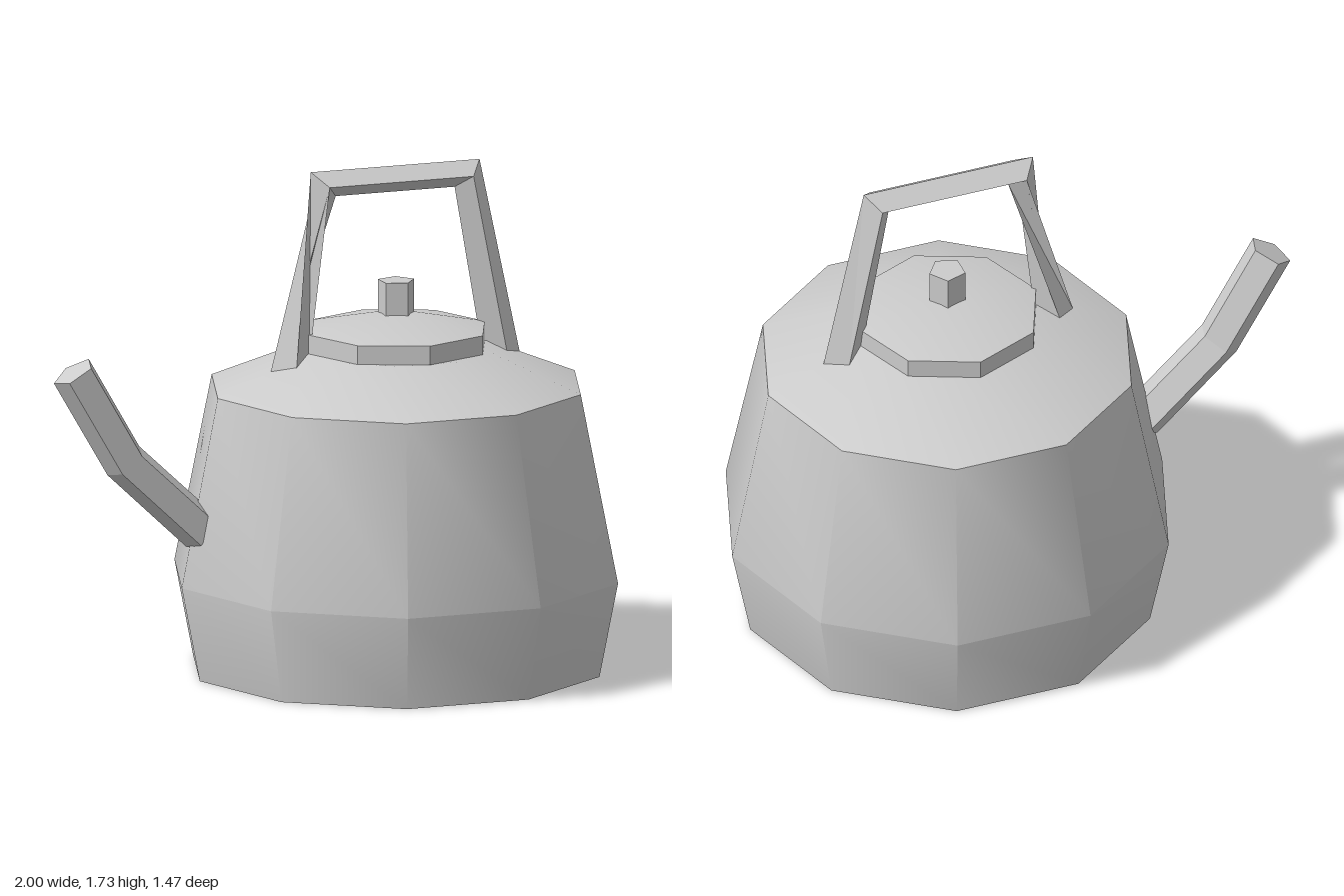
import * as THREE from 'three';
import { toCreasedNormals } from 'three/addons/utils/BufferGeometryUtils.js';

const CX = 0.224; // axis of the pot
const material = new THREE.MeshStandardMaterial({ color: 0xcccccc });
const v = (x, y, z = 0) => new THREE.Vector3(x, y, z);

function part(name, geometry) {
  const mesh = new THREE.Mesh(geometry, material);
  mesh.name = name;
  return mesh;
}

// Faceted turned part; the first corner points to +x
function turned(name, sides, profile, crease = 0.7) {
  const points = profile.map(([r, y]) => new THREE.Vector2(r, y));
  const geometry = new THREE.LatheGeometry(points, sides);
  geometry.rotateY(Math.PI / 2).translate(CX, 0, 0);
  return part(name, toCreasedNormals(geometry, crease));
}

// Flat-sided bar through equal-sized rings of corners, closed at both ends
function bar(name, rings) {
  const n = rings[0].length;
  const corners = [];
  for (let i = 0; i < rings.length - 1; i++) {
    const a = rings[i], b = rings[i + 1];
    for (let j = 0; j < n; j++) {
      const k = (j + 1) % n;
      corners.push(a[j], b[k], a[k], a[j], b[j], b[k]);
    }
  }
  const first = rings[0], last = rings[rings.length - 1];
  for (let j = 1; j < n - 1; j++) {
    corners.push(first[0], first[j], first[j + 1]);
    corners.push(last[0], last[j + 1], last[j]);
  }
  const geometry = new THREE.BufferGeometry().setFromPoints(corners);
  geometry.computeVertexNormals();
  return part(name, geometry);
}

// Diamond section: outer corner, front, inner corner, back
function diamond(ox, oy, ix, iy) {
  const mx = (ox + ix) / 2, my = (oy + iy) / 2;
  return [v(ox, oy), v(mx, my, 0.062), v(ix, iy), v(mx, my, -0.062)];
}

// Pentagon section, one corner to the back, tilted by an angle in the xy plane
function pentagon(x, y, angle, r = 0.077) {
  return Array.from({ length: 5 }, (_, i) => {
    const t = -Math.PI / 2 + (i * Math.PI * 2) / 5;
    const p = r * Math.cos(t);
    return v(x + p * Math.cos(angle), y + p * Math.sin(angle), r * Math.sin(t));
  });
}

export function createModel() {
  const kettle = new THREE.Group();
  kettle.name = 'kettle';

  // Ten-sided pot with sloping shoulder
  kettle.add(turned('body', 10, [
    [0, 0], [0.71, 0], [0.775, 0.325], [0.645, 0.97], [0.325, 1.1], [0, 1.1],
  ]));

  // Eight-sided lid and five-sided knob
  kettle.add(turned('lid', 8, [[0, 1.1], [0.32, 1.1], [0.32, 1.165], [0, 1.23]]));
  kettle.add(turned('lidKnob', 5, [[0, 1.21], [0.064, 1.21], [0.064, 1.33], [0, 1.33]]));

  // Handle: the foot on the spout side is twisted by a quarter turn
  const foot = diamond(-0.23, 1.045, -0.09, 1.08);
  foot.push(foot.shift());
  kettle.add(bar('handle', [
    diamond(0.67, 1.05, 0.53, 1.09),
    diamond(0.525, 1.725, 0.435, 1.636),
    diamond(-0.085, 1.725, 0.005, 1.636),
    foot,
  ]));

  // Bent spout
  kettle.add(bar('spout', [
    pentagon(-0.474, 0.514, 0.81),
    pentagon(-0.753, 0.776, 0.67),
    pentagon(-0.941, 1.099, 0.54),
  ]));

  return kettle;
}
